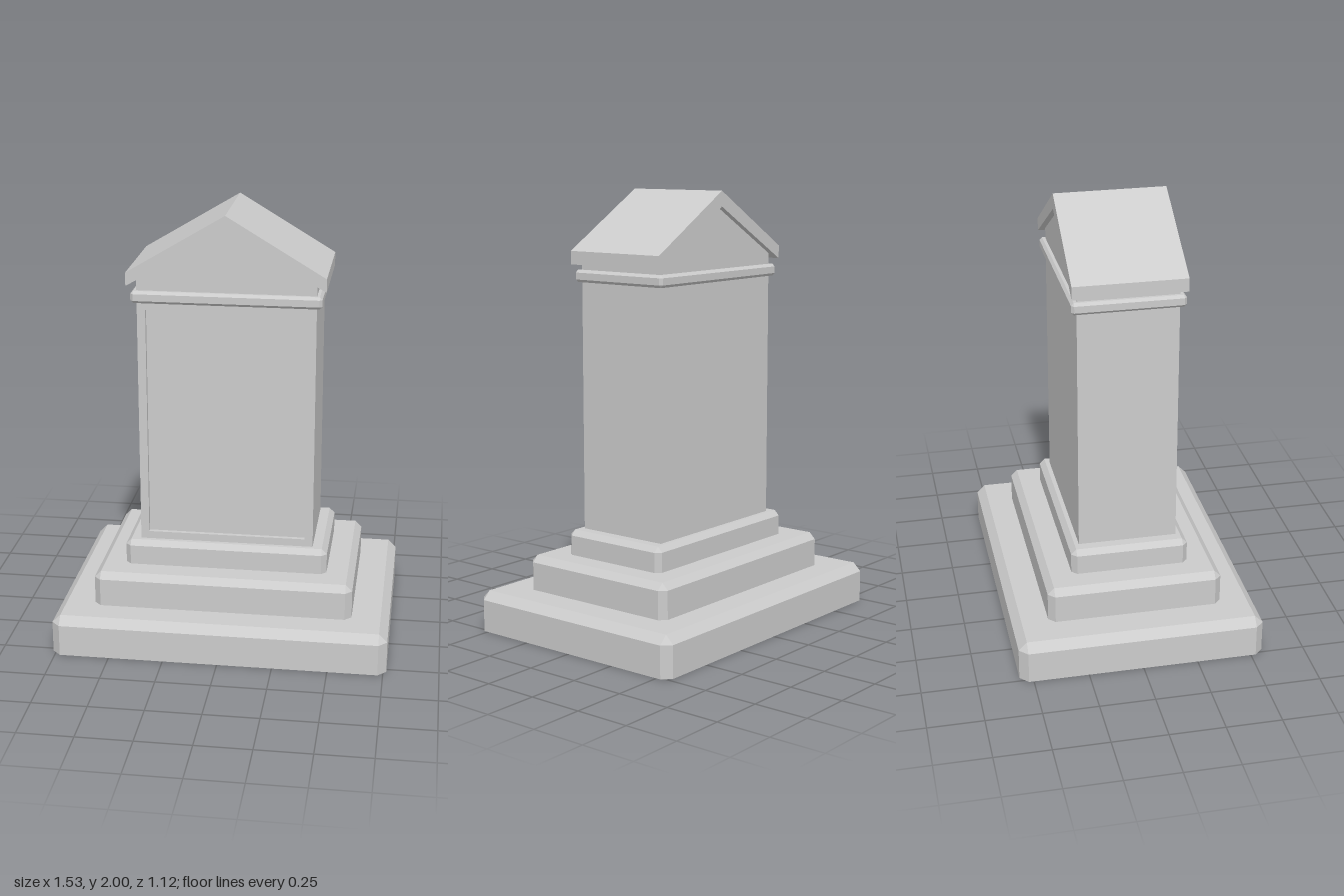
import * as THREE from 'three';
import { ConvexGeometry } from 'three/addons/geometries/ConvexGeometry.js';

const material = new THREE.MeshStandardMaterial({ color: 0xcccccc, flatShading: true });

function addPart(group, name, geometry, x = 0, y = 0, z = 0) {
  const mesh = new THREE.Mesh(geometry, material);
  mesh.name = name;
  mesh.position.set(x, y, z);
  group.add(mesh);
}

// Block of half-width w and half-depth d with bevelled upright and top edges
function bevelledBlock(w, d, y0, y1, bevel, bevelBottom = false) {
  const points = [];
  const low = bevelBottom ? y0 + bevel : y0;
  for (const sx of [-1, 1]) {
    for (const sz of [-1, 1]) {
      for (const y of [low, y1 - bevel]) {
        points.push(new THREE.Vector3(sx * w, y, sz * (d - bevel)));
        points.push(new THREE.Vector3(sx * (w - bevel), y, sz * d));
      }
      points.push(new THREE.Vector3(sx * (w - bevel), y1, sz * (d - bevel)));
      if (bevelBottom) points.push(new THREE.Vector3(sx * (w - bevel), y0, sz * (d - bevel)));
    }
  }
  return new ConvexGeometry(points);
}

function polygon(points) {
  return new THREE.Shape(points.map(([x, y]) => new THREE.Vector2(x, y)));
}

// Extrusion along z, centred on z = 0
function prism(shape, depth) {
  const geometry = new THREE.ExtrudeGeometry(shape, { depth, bevelEnabled: false });
  geometry.translate(0, 0, -depth / 2);
  return geometry;
}

export function createModel() {
  const group = new THREE.Group();
  group.name = 'monument';

  // Three stepped plinth blocks
  addPart(group, 'baseStep', bevelledBlock(0.765, 0.56, 0, 0.185, 0.038));
  addPart(group, 'middleStep', bevelledBlock(0.595, 0.4, 0.185, 0.345, 0.03));
  addPart(group, 'topStep', bevelledBlock(0.468, 0.27, 0.345, 0.46, 0.024));

  // Shaft with a sunken panel framed on its front
  const w = 0.4, d = 0.226, y0 = 0.46, y1 = 1.6, recess = 0.02;
  addPart(group, 'shaft', new THREE.BoxGeometry(2 * w, y1 - y0, 2 * d - recess),
    0, (y0 + y1) / 2, -recess / 2);
  const frame = polygon([[-w, y0], [w, y0], [w, y1], [-w, y1]]);
  frame.holes.push(polygon([[-0.362, 0.495], [-0.362, 1.562], [0.362, 1.562], [0.362, 0.495]]));
  addPart(group, 'panelFrame', prism(frame, recess), 0, 0, d - recess / 2);

  // Moulding below the gable
  addPart(group, 'moulding', bevelledBlock(0.425, 0.252, 1.595, 1.65, 0.012, true));

  // Gable wall, tucked just under the roof
  addPart(group, 'gable', prism(polygon([
    [-w, 1.645], [w, 1.645], [w, 1.705], [0, 1.935], [-w, 1.705],
  ]), 2 * d));

  // Pitched roof with upright eaves
  addPart(group, 'roof', prism(polygon([
    [-0.443, 1.675], [0, 1.93], [0.443, 1.675], [0.443, 1.735], [0, 2], [-0.443, 1.735],
  ]), 0.508));

  return group;
}
